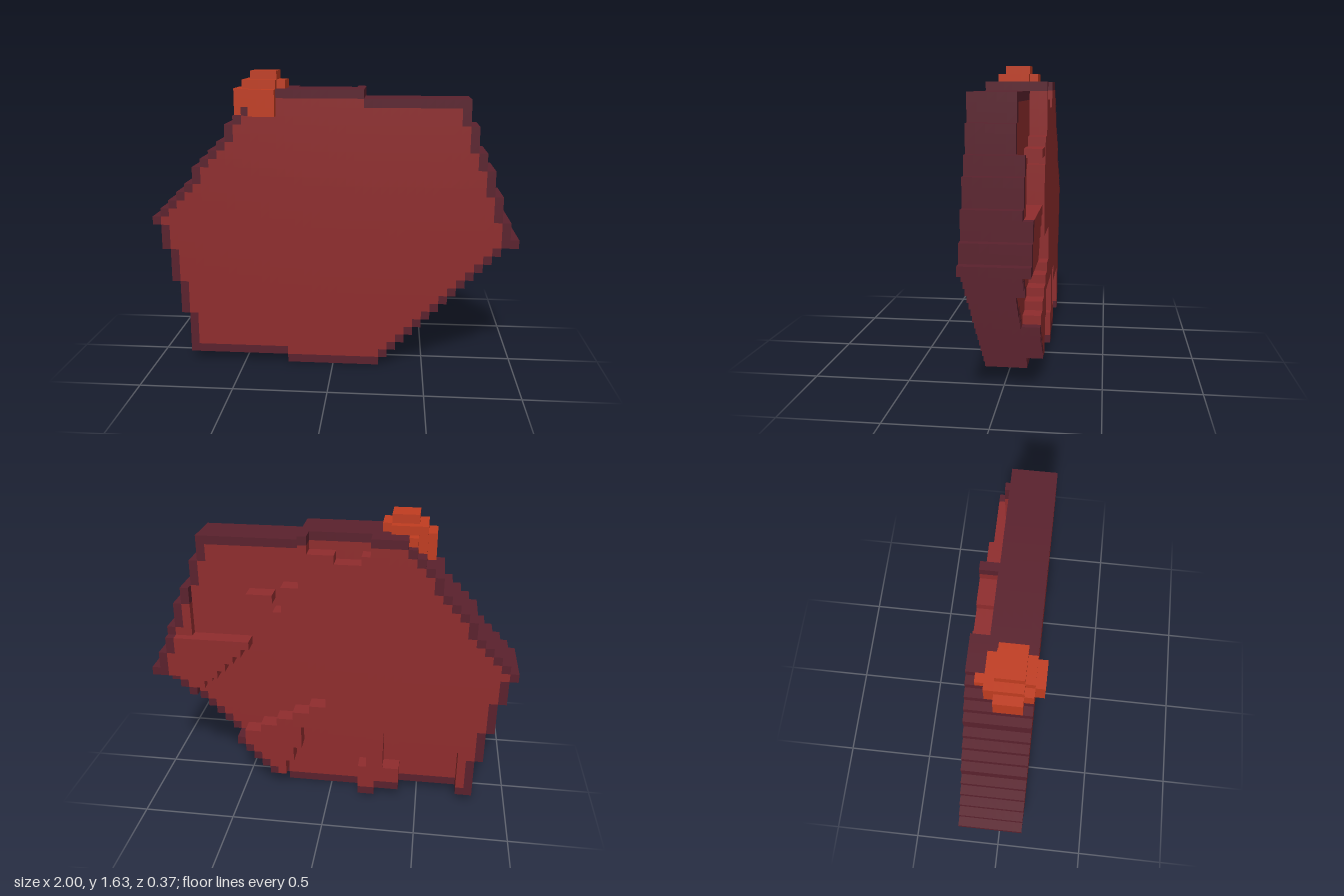
import * as THREE from 'three';
import { mergeGeometries } from 'three/addons/utils/BufferGeometryUtils.js';

const U = 2 / 43; // edge of one cube
const key = (c, r, l) => `${c},${r},${l}`;

// outline of the slab: first column and end column of each row, bottom to top
const LEFT = [16, 4, 4, 4, 4, 4, 3, 3, 3, 3, 2, 2, 2, 2, 1, 1, 1, 0, 1, 2, 3, 4, 5, 5, 6, 7, 8, 9, 9, 10, 11, 12, 13];
const RIGHT = LEFT.map((_, r) => {
  if (r < 15) return 27 + r;
  if (r === 15) return 43;
  if (r < 18) return 42;
  if (r < 21) return 41;
  if (r < 24) return 40;
  if (r < 26) return 39;
  if (r < 29) return 38;
  return r < 32 ? 37 : 25;
});
const inside = (c, r) => r >= 0 && r < LEFT.length && c >= LEFT[r] && c < RIGHT[r];
const isRim = (c, r) => !(inside(c - 1, r) && inside(c + 1, r) && inside(c, r - 1) && inside(c, r + 1));

// how many layers are chipped away from the back at a cell
function chip(c, r) {
  // notch in the top edge
  if (r >= 31 && c >= 17 && c <= 23) return 2;
  if (r === 30 && c >= 18 && c <= 20) return 2;
  // large upper hollow with a small bump
  if (r >= 27 && r <= 31 && c >= 25) return 2;
  if (r >= 20 && r <= 26) {
    if (r === 25 && c >= 28 && c <= 30) return 0;
    if (c >= 38 && r <= 25) return 1;
    return c >= (r > 23 ? 27 : 28) ? 2 : 0;
  }
  // middle hollow, with the wedge that stays at the side
  if (r >= 7 && r <= 19) {
    const wedge = 50 - r;
    if (c >= wedge && r >= 12) return r >= 15 ? 0 : 1;
    const start = r >= 16 ? 28 : r >= 12 ? 22 : 22 + (12 - r) * 2;
    if (c >= start) return 2;
  }
  // lower hollow
  if (r <= 8) {
    const end = r === 0 ? 26 : r === 1 ? 27 : 24 + Math.floor((8 - r) * 0.4);
    if (c >= (r < 4 ? 18 : 17) && c <= end) return 2;
  }
  // corner hollow
  if (r >= 1 && r <= 6 && c >= 6 && c <= (r < 4 ? 12 : 14)) return 2;
  if (r >= 7 && r <= 8 && c >= 13 && c <= 14) return 1;
  return 0;
}

// cells of each part
const rim = new Set(), core = new Set(), ember = new Set();
for (let r = 0; r < LEFT.length; r++)
  for (let c = LEFT[r]; c < RIGHT[r]; c++)
    for (let l = chip(c, r); l < 7; l++) (isRim(c, r) ? rim : core).add(key(c, r, l));

// ember clump: [first column, last column, first row, last row, first layer, last layer]
const CLUMP = [
  [12, 14, 34, 34, 3, 5],
  [11, 15, 33, 33, 3, 5],
  [11, 14, 33, 33, 2, 5],
  [12, 14, 33, 33, 2, 6],
  [10, 10, 30, 32, 3, 5],
  [11, 11, 31, 32, 2, 6],
  [12, 12, 32, 32, 1, 6],
  [12, 14, 30, 32, 7, 7],
];
for (const [c0, c1, r0, r1, l0, l1] of CLUMP)
  for (let c = c0; c <= c1; c++)
    for (let r = r0; r <= r1; r++)
      for (let l = l0; l <= l1; l++) {
        const k = key(c, r, l);
        if (!rim.has(k) && !core.has(k)) ember.add(k);
      }
const filled = k => rim.has(k) || core.has(k) || ember.has(k);

// one square per outward direction
const FACES = [
  [1, 0, 0], [-1, 0, 0], [0, 1, 0], [0, -1, 0], [0, 0, 1], [0, 0, -1],
].map(([x, y, z]) => {
  const g = new THREE.PlaneGeometry(U, U);
  if (x) g.rotateY(x * Math.PI / 2);
  if (y) g.rotateX(-y * Math.PI / 2);
  if (z < 0) g.rotateY(Math.PI);
  g.translate(x * U / 2, y * U / 2, z * U / 2);
  return { d: [x, y, z], g };
});

// mesh of the exposed faces of a set of cells
function cubeMesh(cells, material, name) {
  const parts = [];
  for (const k of cells) {
    const [c, r, l] = k.split(',').map(Number);
    for (const { d, g } of FACES) {
      if (filled(key(c + d[0], r + d[1], l + d[2]))) continue;
      parts.push(g.clone().translate((c + 0.5) * U - 1, (r + 0.5) * U, (l - 3.5) * U));
    }
  }
  const mesh = new THREE.Mesh(mergeGeometries(parts), material);
  mesh.name = name;
  return mesh;
}

export function createModel() {
  const paint = (name, color) => {
    const m = new THREE.MeshStandardMaterial({ color });
    m.name = name;
    return m;
  };
  const group = new THREE.Group();
  group.name = 'chippedSlab';
  group.add(
    cubeMesh(rim, paint('dark maroon', 0x5a212d), 'rim'),
    cubeMesh(core, paint('brick red', 0x8e2c2d), 'slabCore'),
    cubeMesh(ember, paint('ember orange', 0xc03c20), 'emberClump'),
  );
  return group;
}
